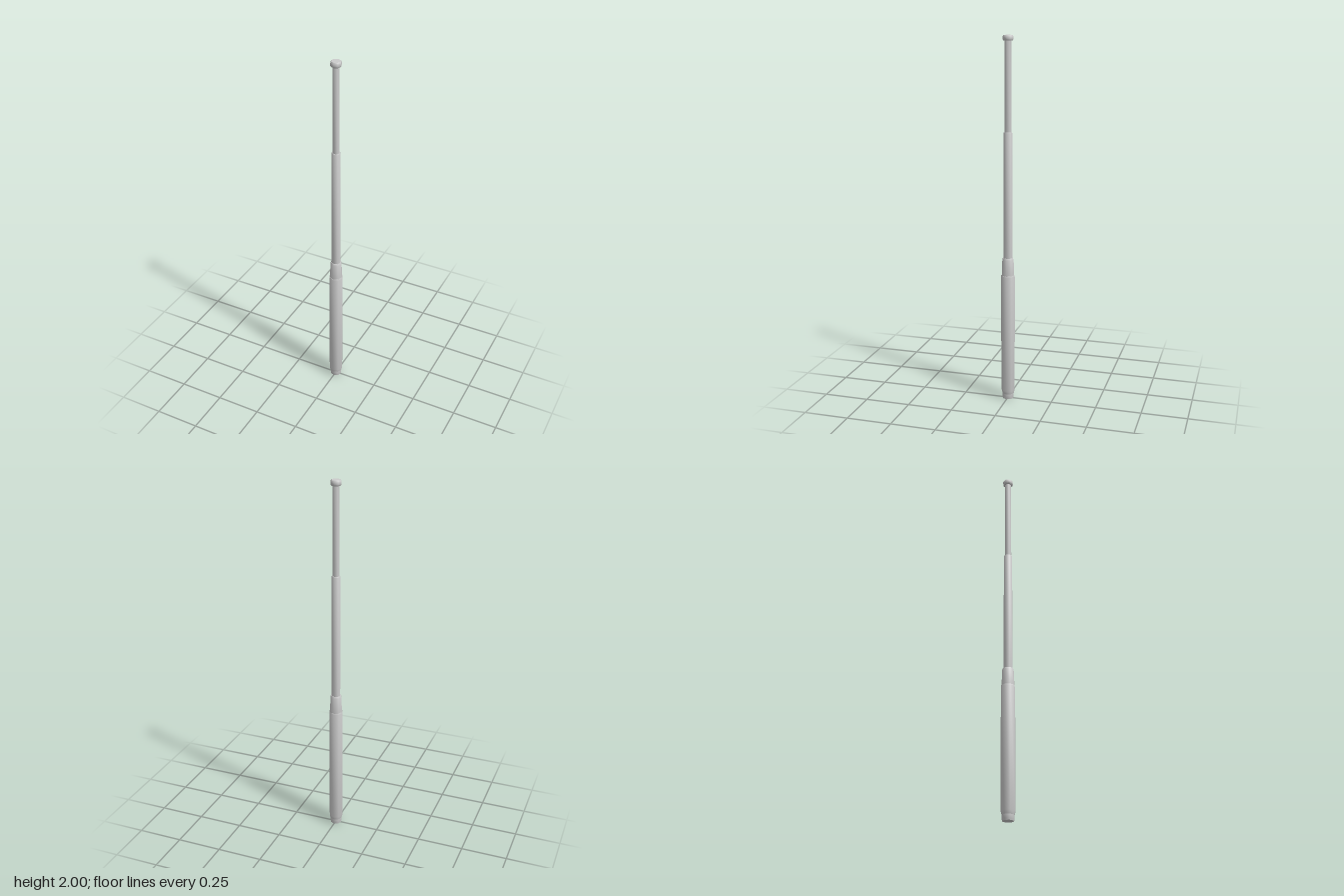
import * as THREE from 'three';
import { toCreasedNormals } from 'three/addons/utils/BufferGeometryUtils.js';

const material = new THREE.MeshStandardMaterial({ color: 0xcccccc });

// Eight-sided turned part from [radius, height] pairs, bottom to top
function turned(name, profile) {
  const points = profile.map(([r, y]) => new THREE.Vector2(r, y));
  const geometry = toCreasedNormals(new THREE.LatheGeometry(points, 8), 0.9);
  const mesh = new THREE.Mesh(geometry, material);
  mesh.name = name;
  return mesh;
}

export function createModel() {
  const group = new THREE.Group();
  group.name = 'telescopicBaton';
  group.add(
    // Butt cap below the grip
    turned('buttCap', [[0, 0], [0.031, 0], [0.033, 0.008], [0.033, 0.04], [0, 0.04]]),
    // Thick grip with a tapered lower end
    turned('grip', [[0, 0.03], [0.034, 0.03], [0.039, 0.05], [0.039, 0.71], [0.037, 0.717], [0, 0.717]]),
    // Tapered collar where the tubes slide out
    turned('collar', [[0, 0.7], [0.036, 0.7], [0.035, 0.73], [0.032, 0.805], [0.028, 0.815], [0, 0.815]]),
    // Telescoping tubes
    turned('middleTube', [[0, 0.8], [0.025, 0.8], [0.024, 1.495], [0.022, 1.5], [0, 1.5]]),
    turned('upperTube', [[0, 1.49], [0.019, 1.49], [0.018, 1.98], [0, 1.98]]),
    // Rounded striking tip
    turned('tip', [[0, 1.972], [0.025, 1.972], [0.029, 1.978], [0.029, 1.993], [0.025, 2], [0, 2]])
  );
  return group;
}
